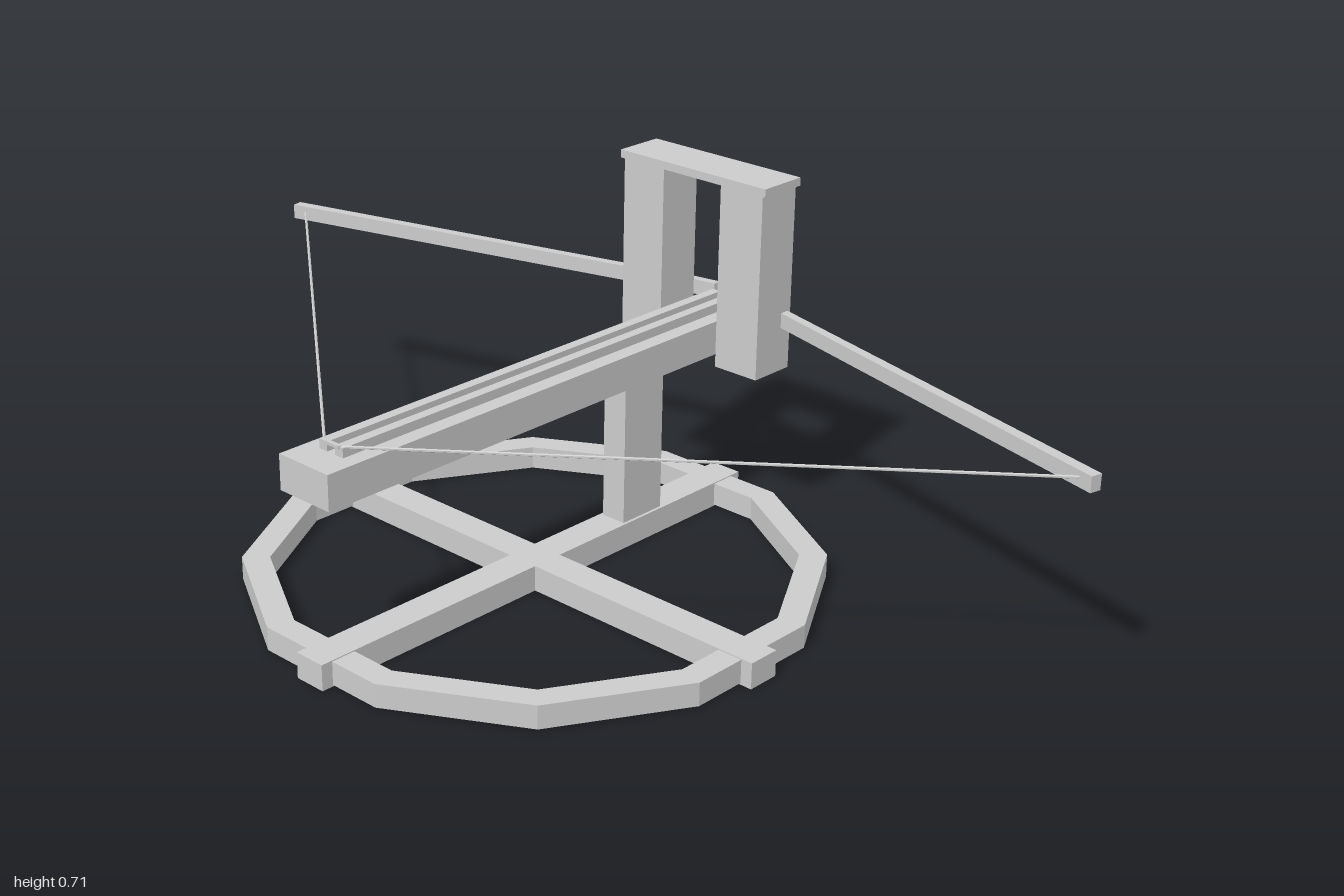
import * as THREE from 'three';

export function createModel() {
  const model = new THREE.Group();
  const mat = new THREE.MeshStandardMaterial({ color: 0xcccccc, flatShading: true });

  const add = (name, geometry) => {
    const mesh = new THREE.Mesh(geometry, mat);
    mesh.name = name;
    model.add(mesh);
    return mesh;
  };
  // Box given by its lower and upper corners
  const box = (name, x0, x1, y0, y1, z0, z1) =>
    add(name, new THREE.BoxGeometry(x1 - x0, y1 - y0, z1 - z0)
      .translate((x0 + x1) / 2, (y0 + y1) / 2, (z0 + z1) / 2));
  // Plan outline (x, z) raised from y0 to y1
  const slab = (name, shape, y0, y1) =>
    add(name, new THREE.ExtrudeGeometry(shape, { depth: y1 - y0, bevelEnabled: false })
      .rotateX(Math.PI / 2).translate(0, y1, 0));
  const polygon = (r, n) => Array.from({ length: n }, (_, i) => {
    const a = (i + 0.5) / n * Math.PI * 2;
    return new THREE.Vector2(r * Math.cos(a), r * Math.sin(a));
  });

  // Twelve-sided base ring with crossed spokes
  const ring = new THREE.Shape(polygon(0.55, 12));
  ring.holes.push(new THREE.Path(polygon(0.497, 12)));
  slab('baseRing', ring, 0.003, 0.049);
  box('spokeAcross', -0.555, 0.555, 0, 0.051, -0.033, 0.033);
  box('spokeDeep', -0.033, 0.033, 0, 0.051, -0.555, 0.555);

  // Pedestal and stock
  box('pedestal', 0.217, 0.323, 0.04, 0.355, -0.027, 0.027);
  box('stock', -0.55, 0.548, 0.35, 0.418, -0.062, 0.062);

  // Bow frame cap
  box('frameCap', 0.421, 0.524, 0.697, 0.713, -0.18, 0.18);

  for (const s of [-1, 1]) {
    const span = (a, b) => (s > 0 ? [a, b] : [-b, -a]);
    // Guide rail on either side of the bolt groove
    box('guideRail', -0.488, 0.53, 0.416, 0.436, ...span(0.01, 0.03));
    // Frame upright
    box('frameUpright', 0.424, 0.521, 0.33, 0.699, ...span(0.071, 0.172));

    // Bow arm, bending towards the middle
    const plan = [[0.291, 1], [0.511, 0.18], [0.537, 0.08], [0.547, 0.025],
      [0.53, 0.025], [0.519, 0.08], [0.492, 0.18], [0.269, 0.995]];
    slab('bowArm', new THREE.Shape(plan.map(([x, z]) => new THREE.Vector2(x, s * z))), 0.418, 0.448);

    // Bowstring half, from arm tip to the rear of the groove
    const from = new THREE.Vector3(0.28, 0.435, s * 0.97);
    const to = new THREE.Vector3(-0.485, 0.435, s * 0.02);
    add('bowstring', new THREE.TubeGeometry(new THREE.LineCurve3(from, to), 1, 0.003, 6));
  }

  // String nock and bow centre
  box('stringNock', -0.49, -0.482, 0.432, 0.438, -0.022, 0.022);
  box('bowCentre', 0.53, 0.548, 0.418, 0.432, -0.03, 0.03);

  return model;
}
